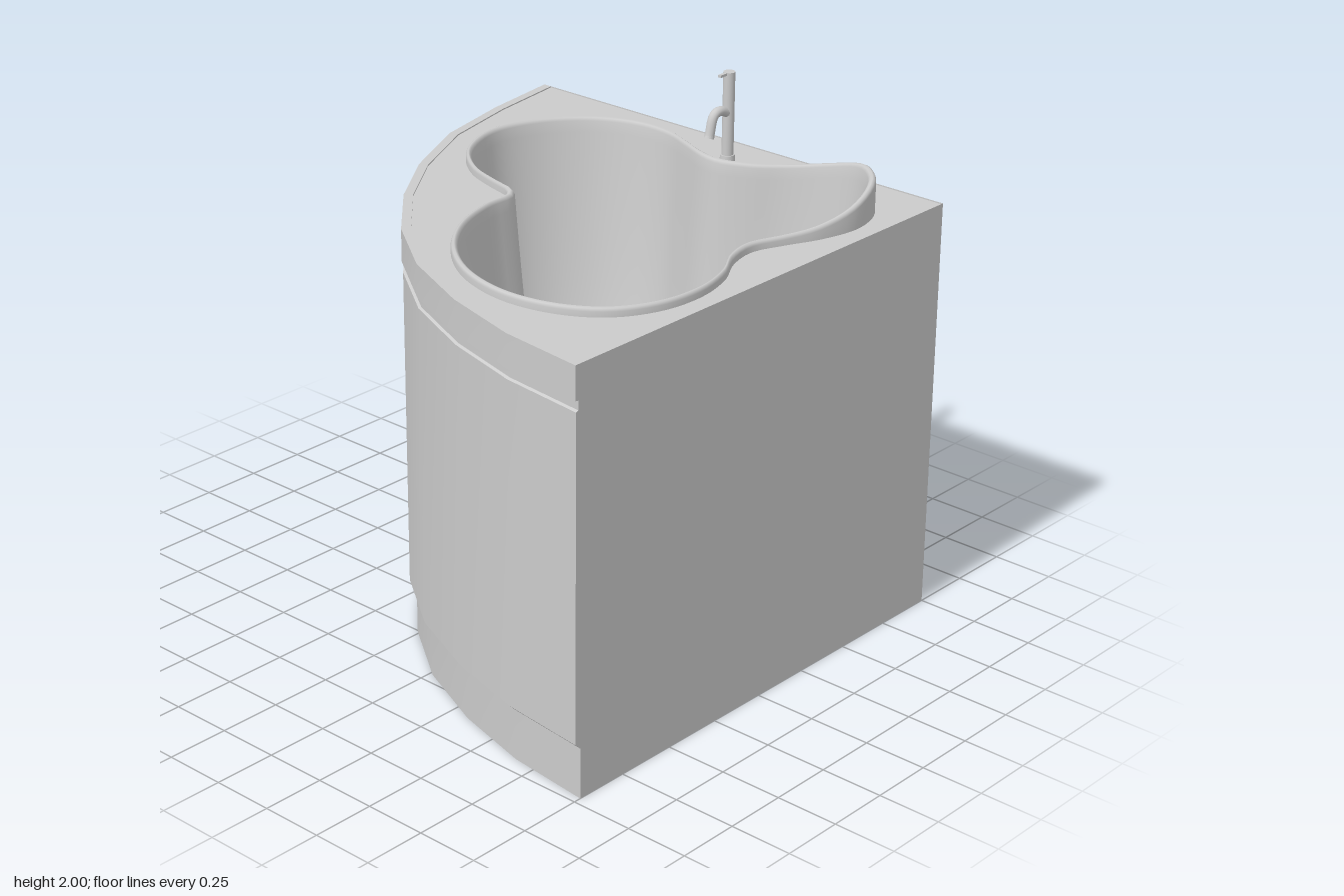
import * as THREE from 'three';
import { toCreasedNormals } from 'three/addons/utils/BufferGeometryUtils.js';

const V = (x, y, z) => new THREE.Vector3(x, y, z);
const material = new THREE.MeshStandardMaterial({ color: 0xcccccc, roughness: 0.6 });

// Quarter-round footprint [x, z], clockwise from above; the square corner is (1, -1)
const footprint = [[-1, -1], [1, -1], [1, 1], [0.65, 0.96], [0.32, 0.87], [0, 0.73], [-0.28, 0.53],
  [-0.52, 0.28], [-0.71, 0.01], [-0.87, -0.32], [-0.95, -0.66]];

// Three-lobed opening [x, z], clockwise from above
const lobes = [[-0.74, -0.42], [-0.69, -0.62], [-0.55, -0.79], [-0.38, -0.87], [-0.22, -0.87], [-0.08, -0.82],
  [0.05, -0.77], [0.14, -0.76], [0.26, -0.8], [0.4, -0.87], [0.55, -0.905], [0.73, -0.88], [0.87, -0.76],
  [0.92, -0.6], [0.89, -0.43], [0.83, -0.29], [0.785, -0.16], [0.81, -0.03], [0.88, 0.1], [0.92, 0.27],
  [0.9, 0.46], [0.81, 0.62], [0.66, 0.72], [0.45, 0.76], [0.22, 0.71], [0.02, 0.58], [-0.12, 0.4],
  [-0.19, 0.2], [-0.2, 0.07], [-0.24, 0.025], [-0.33, 0], [-0.5, -0.06], [-0.66, -0.2]];
const opening = new THREE.CatmullRomCurve3(lobes.map(([x, z]) => V(x, 0, z)), true)
  .getSpacedPoints(144).slice(0, -1);

const CENTRE = V(0.2, 0, -0.2);
const FLOOR = 0.6;
const DECK = 1.645;

// Skin a stack of closed rings
function loft(rings) {
  const n = rings[0].length, index = [];
  for (let r = 0; r < rings.length - 1; r++) {
    for (let i = 0; i < n; i++) {
      const a = r * n + i, b = r * n + (i + 1) % n;
      index.push(a, a + n, b, b, a + n, b + n);
    }
  }
  const geometry = new THREE.BufferGeometry().setFromPoints(rings.flat());
  geometry.setIndex(index);
  geometry.computeVertexNormals();
  return geometry;
}

// Footprint shrunk towards the square corner, so the two straight walls stay in place
const inset = (k) => footprint.map(([x, z]) => [1 + (x - 1) * k, -1 + (z + 1) * k]);

// Lip height: level, rising to a headrest in the corner lobe
function lipHeight(x, z) {
  const t = THREE.MathUtils.clamp((x - z - 1) / 0.63, 0, 1);
  return 1.68 + 0.1 * Math.pow(t, 2.6);
}

// Basin height: steep walls, bowl floor and a raised seat in the corner lobe
function basinHeight(x, z, s, top) {
  const wall = FLOOR + 0.04 * s * s + (top - FLOOR - 0.04) * Math.pow(Math.max(0, (s - 0.7) / 0.3), 1.8);
  const d = x - z;
  const seat = FLOOR + 0.55 * THREE.MathUtils.smoothstep(d, 0.72, 1) + 0.35 * Math.max(0, d - 0.98);
  const blend = (wall + seat + Math.sqrt((wall - seat) ** 2 + 0.005)) / 2;
  return Math.min(top, blend);
}

function basinGeometry() {
  const rings = [];
  // rounded lip: [distance inwards, height below lip top]
  const lip = [[0, null], [0, 0.014], [0.005, 0.004], [0.014, 0], [0.023, 0.004], [0.03, 0.015]];
  const inward = (p, o) => p.clone().addScaledVector(CENTRE.clone().sub(p).normalize(), o);
  for (const [o, drop] of lip) {
    rings.push(opening.map((p) => {
      const q = inward(p, o);
      q.y = drop === null ? DECK - 0.01 : lipHeight(p.x, p.z) - drop;
      return q;
    }));
  }
  // inside, from the lip to the middle of the floor
  const steps = 44;
  for (let j = 1; j <= steps; j++) {
    const s = 1 - Math.pow(j / steps, 1.3);
    rings.push(opening.map((p) => {
      const q = CENTRE.clone().lerp(inward(p, 0.03), s);
      q.y = basinHeight(q.x, q.z, s, lipHeight(p.x, p.z) - 0.015);
      return q;
    }));
  }
  return loft(rings);
}

// Flat ring between the footprint and the opening
function deckGeometry(k) {
  const edge = inset(k);
  const angle = (x, z) => Math.atan2(z - CENTRE.z, x - CENTRE.x);
  // project each opening point outwards on to the footprint
  const outer = opening.map((p) => {
    const dx = p.x - CENTRE.x, dz = p.z - CENTRE.z;
    let reach = Infinity;
    edge.forEach(([ax, az], i) => {
      const [bx, bz] = edge[(i + 1) % edge.length];
      const nx = bz - az, nz = ax - bx;
      const t = ((ax - CENTRE.x) * nx + (az - CENTRE.z) * nz) / (dx * nx + dz * nz);
      if (t > 0) reach = Math.min(reach, t);
    });
    return V(CENTRE.x + dx * reach, DECK, CENTRE.z + dz * reach);
  });
  // move the nearest point on to each footprint corner
  for (const [x, z] of edge) {
    const gaps = opening.map((p) => Math.abs(Math.sin((angle(p.x, p.z) - angle(x, z)) / 2)));
    outer[gaps.indexOf(Math.min(...gaps))].set(x, DECK, z);
  }
  return loft([outer, opening.map((p) => V(p.x, DECK, p.z))]);
}

export function createModel() {
  const model = new THREE.Group();
  const add = (name, geometry, parent = model) => {
    const mesh = new THREE.Mesh(geometry, material);
    mesh.name = name;
    parent.add(mesh);
    return mesh;
  };

  // Plinth, apron and overhanging rim: [height, footprint scale]
  const wall = (name, profile) => add(name, toCreasedNormals(
    loft(profile.map(([y, k]) => inset(k).map(([x, z]) => V(x, y, z)))), 0.5));
  wall('plinth', [[0, 0.985], [0.2, 0.985]]);
  wall('apron', [[0.2, 0.985], [0.225, 0.998], [1.48, 0.998], [1.485, 0.993], [1.52, 0.993]]);
  wall('rim', [[1.52, 0.993], [1.522, 1], [1.65, 1], [1.65, 0.982], [DECK, 0.982]]);

  // Underside
  const base = new THREE.Shape(inset(0.985).map(([x, z]) => new THREE.Vector2(x, z)));
  add('underside', new THREE.ShapeGeometry(base).rotateX(Math.PI / 2));

  add('deck', deckGeometry(0.982));
  add('basin', basinGeometry());

  // Drain plug
  add('drain', new THREE.SphereGeometry(0.032, 20, 10).scale(1, 0.5, 1).translate(0.13, FLOOR + 0.045, -0.11));

  // Faucet
  const faucet = new THREE.Group();
  faucet.name = 'faucet';
  faucet.position.set(0.113, 1.65, -0.828);
  model.add(faucet);
  add('faucetBase', new THREE.CylinderGeometry(0.028, 0.03, 0.025, 20).translate(0, 0.007, 0), faucet);
  add('faucetPost', new THREE.CylinderGeometry(0.023, 0.023, 0.35, 20).translate(0, 0.175, 0), faucet);
  const spoutPath = new THREE.CatmullRomCurve3([V(0, 0.185, 0), V(0, 0.205, 0.05), V(0, 0.195, 0.085), V(0, 0.12, 0.11)]);
  add('spout', new THREE.TubeGeometry(spoutPath, 20, 0.019, 14), faucet);
  add('spoutTip', new THREE.CylinderGeometry(0.018, 0.02, 0.02, 14).rotateX(-0.33).translate(0, 0.122, 0.109), faucet);
  add('lever', new THREE.BoxGeometry(0.014, 0.01, 0.055).translate(0, 0.344, 0.03), faucet);

  return model;
}
